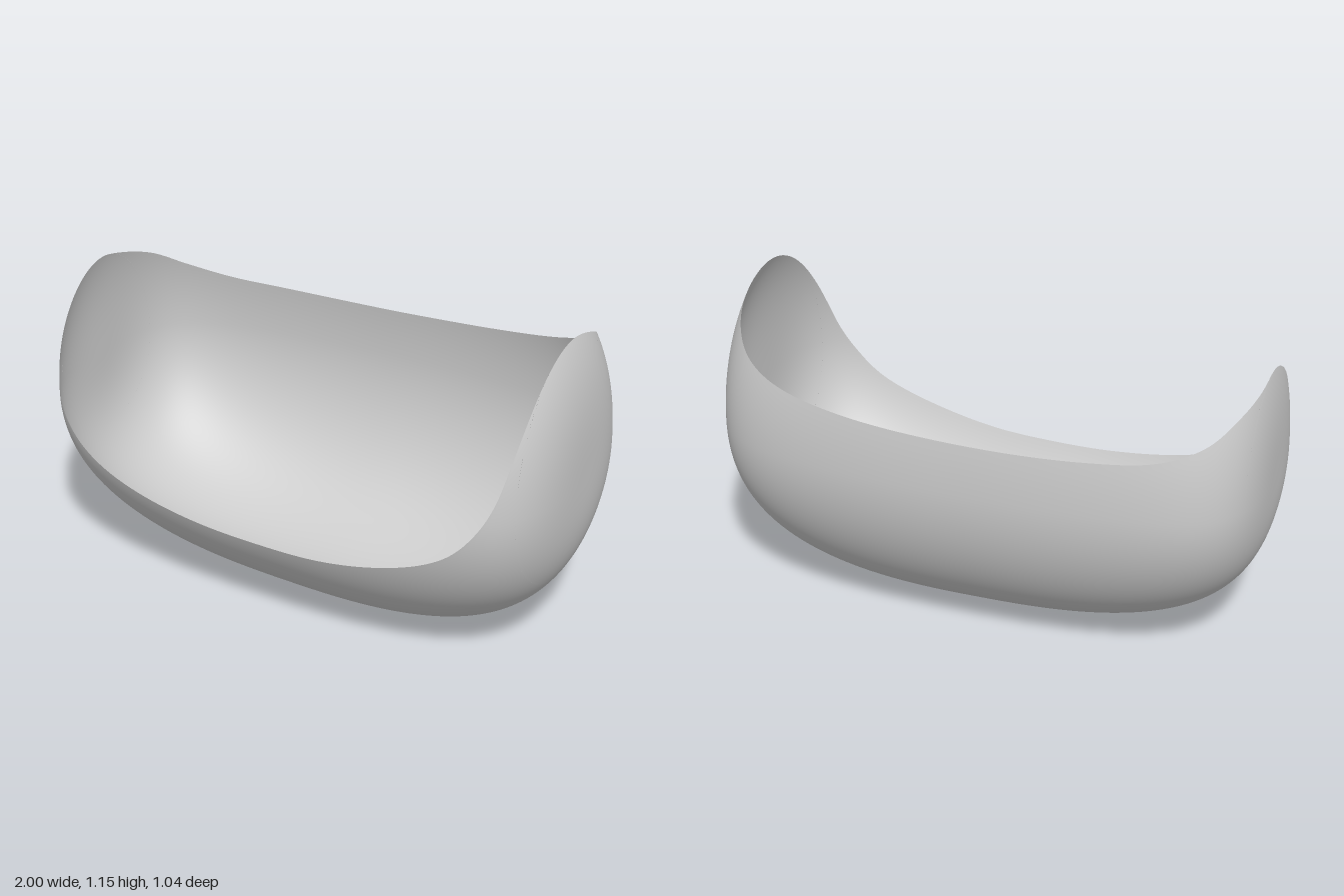
import * as THREE from 'three';
import { mergeVertices } from 'three/addons/utils/BufferGeometryUtils.js';

const CY = 0.652, CZ = 0.02;           // axis of the rounded body
const XL = -0.965, XR = 0.925;         // where the rim tips sit
const COLS = 120, MID = 160, CAP = 40;

// Rim heights along x: low front lip and higher back lip, meeting at the tips
const frontRim = [[XL, 1.045], [-0.955, 0.88], [-0.92, 0.7], [-0.85, 0.585], [-0.7, 0.47], [-0.5, 0.4],
  [-0.25, 0.36], [0, 0.35], [0.25, 0.36], [0.5, 0.41], [0.7, 0.49], [0.8, 0.58], [0.875, 0.72],
  [0.91, 0.9], [XR, 1.145]];
const backRim = [[XL, 1.045], [-0.93, 0.985], [-0.85, 0.915], [-0.7, 0.865], [-0.5, 0.848], [-0.2, 0.84],
  [0.1, 0.845], [0.4, 0.865], [0.65, 0.905], [0.8, 0.965], [0.88, 1.04], [XR, 1.145]];

const middle = (XL + XR) / 2, half = (XR - XL) / 2;
const toW = (x) => Math.acos(THREE.MathUtils.clamp((middle - x) / half, -1, 1));

// Smooth interpolation of rim height over the angle-like parameter w
function rimHeight(points, w) {
  const p = points.map(([x, y]) => [toW(x), y]);
  const slope = (i) => {
    const a = p[Math.max(i - 1, 0)], b = p[Math.min(i + 1, p.length - 1)];
    return (b[1] - a[1]) / (b[0] - a[0]);
  };
  let i = 0;
  while (i < p.length - 2 && w > p[i + 1][0]) i++;
  const h = p[i + 1][0] - p[i][0], t = (w - p[i][0]) / h, t2 = t * t, t3 = t2 * t;
  return (2 * t3 - 3 * t2 + 1) * p[i][1] + (t3 - 2 * t2 + t) * h * slope(i)
    + (3 * t2 - 2 * t3) * p[i + 1][1] + (t3 - t2) * h * slope(i + 1);
}

// Section size at x: full in the middle, rounding off to a point at x = +-1
const P = 2.7, Q = 3;
const sizeAt = (x) => Math.cbrt(Math.max(0, 1 - Math.abs(x) ** P)) * (1 + 0.045 * x);
const upperRadius = (x) => 0.87 - 0.05 * x;

function sectionPoint(x, angle) {
  const c = Math.cos(angle), s = Math.sin(angle), size = sizeAt(x);
  const ry = s > 0 ? upperRadius(x) : 0.65;
  const rz = (c > 0 ? 0.555 : 0.535) * (1 + 0.22 * x ** 4);
  return [x, CY + ry * size * s, CZ + rz * size * c];
}

function rimAngle(points, x, w) {
  const dy = rimHeight(points, w) - CY;
  const r = (dy > 0 ? upperRadius(x) : 0.65) * sizeAt(x);
  return Math.asin(THREE.MathUtils.clamp(dy / r, -1, 1));
}

// Stations from the left-hand pole to the right: x, start angle, end angle
function stations() {
  const rows = [], top = Math.PI / 2;
  const cap = (tip, k) => {
    const rho = Math.cbrt(1 - Math.abs(tip) ** P) * k;
    return [Math.sign(tip) * (1 - rho ** Q) ** (1 / P), top, -3 * top];
  };
  for (let i = 0; i <= CAP; i++) rows.push(cap(XL, i / CAP));
  for (let i = 1; i < MID; i++) {
    const s = i / MID, w = Math.PI * s * s * (3 - 2 * s);
    const x = middle - half * Math.cos(w);
    rows.push([x, rimAngle(frontRim, x, w), -Math.PI - rimAngle(backRim, x, w)]);
  }
  for (let i = CAP; i >= 0; i--) rows.push(cap(XR, i / CAP));
  return rows;
}

export function createModel() {
  const rows = stations(), positions = [], index = [];
  rows.forEach(([x, from, to], r) => {
    for (let c = 0; c <= COLS; c++) {
      positions.push(...sectionPoint(x, from + (to - from) * c / COLS));
      if (r < rows.length - 1 && c < COLS) {
        const a = r * (COLS + 1) + c, b = a + COLS + 1;
        index.push(a, a + 1, b, a + 1, b + 1, b);
      }
    }
  });
  let geometry = new THREE.BufferGeometry();
  geometry.setAttribute('position', new THREE.Float32BufferAttribute(positions, 3));
  geometry.setIndex(index);
  geometry = mergeVertices(geometry, 1e-5);   // closes the seams of the end caps
  geometry.computeVertexNormals();

  const shell = new THREE.Mesh(geometry,
    new THREE.MeshStandardMaterial({ color: 0xcccccc, side: THREE.DoubleSide }));
  shell.name = 'scoopShell';
  const group = new THREE.Group();
  group.name = 'scoop';
  group.add(shell);
  return group;
}
